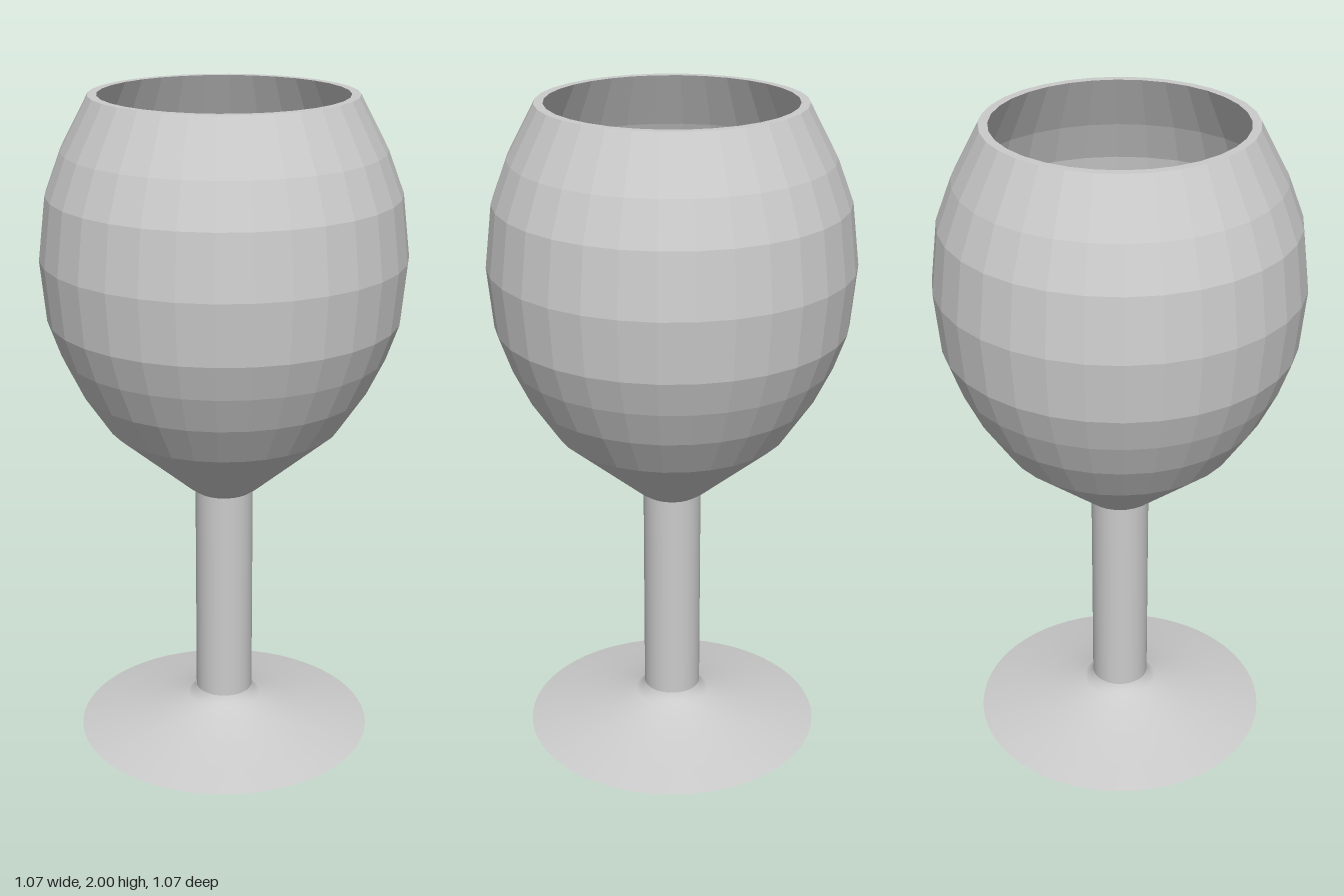
import * as THREE from 'three';

const SIDES = 32;
const points = (list) => list.map(([r, y]) => new THREE.Vector2(r, y));

function part(name, geometry, flatShading) {
  const material = new THREE.MeshStandardMaterial({ color: 0xcccccc, flatShading });
  const mesh = new THREE.Mesh(geometry, material);
  mesh.name = name;
  return mesh;
}

export function createModel() {
  const glass = new THREE.Group();
  glass.name = 'goblet';

  // Bowl: faceted outer wall up to the rim, then the inner wall down to the floor
  const outer = [[0.088, 0.8], [0.11, 0.815], [0.35, 1.02], [0.43, 1.14], [0.483, 1.25], [0.52, 1.355],
    [0.537, 1.535], [0.515, 1.72], [0.468, 1.845], [0.386, 2]];
  const inner = [[0.36, 2], [0.445, 1.835], [0.49, 1.715], [0.514, 1.535], [0.497, 1.36],
    [0.46, 1.26], [0.408, 1.155], [0.33, 1.04], [0.1, 0.835], [0.085, 0.82], [0, 0.82]];
  const bowl = new THREE.LatheGeometry(points([...outer, ...inner]), SIDES);
  glass.add(part('bowl', bowl, true));

  // Stem: plain smooth cylinder
  const stem = new THREE.CylinderGeometry(0.088, 0.088, 0.69, SIDES, 1, true);
  stem.translate(0, 0.465, 0);
  glass.add(part('stem', stem, false));

  // Foot: shallow cone flaring out of the stem, closed by a flat disc below
  const flare = new THREE.LatheGeometry(points([[0.455, 0], [0.36, 0.022], [0.25, 0.047],
    [0.17, 0.072], [0.115, 0.093], [0.097, 0.105], [0.088, 0.125]]), SIDES * 2);
  glass.add(part('foot', flare, false));

  const base = new THREE.CircleGeometry(0.455, SIDES * 2);
  base.rotateX(Math.PI / 2);
  glass.add(part('footUnderside', base, false));

  return glass;
}
